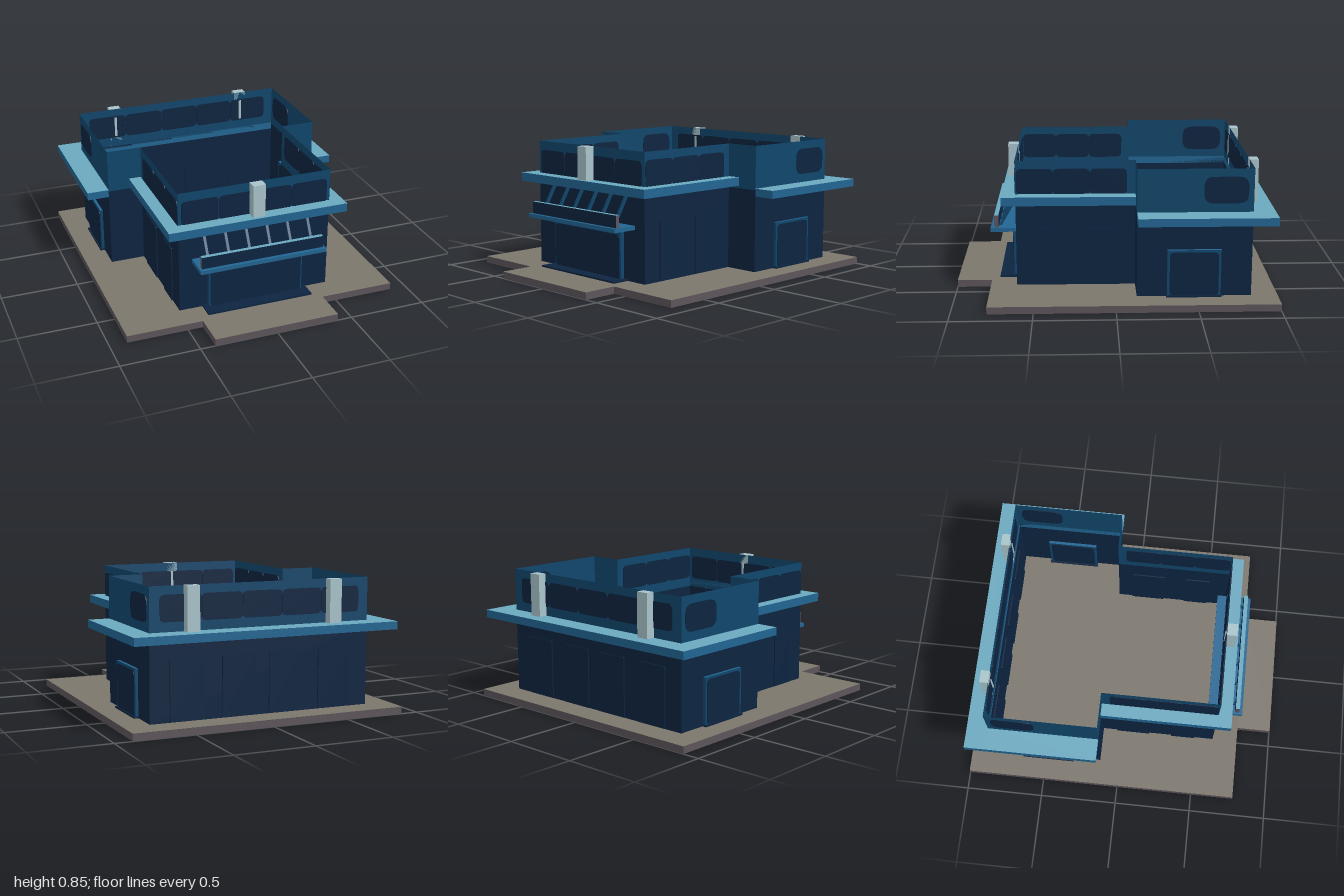
import * as THREE from 'three';

const mat = (name, color, side = THREE.FrontSide) => {
  const m = new THREE.MeshStandardMaterial({ color, side });
  m.name = name;
  return m;
};

export function createModel() {
  const model = new THREE.Group();
  model.name = 'building';
  const navy = mat('navy', 0x0c2440, THREE.DoubleSide);
  const blue = mat('deep blue', 0x10466b, THREE.DoubleSide);
  const mid = mat('mid blue', 0x226592);
  const light = mat('light blue', 0x6ba8bf);
  const pale = mat('pale grey blue', 0xa8c3ca);
  const stone = mat('stone', 0x7b766c);
  const stoneEdge = mat('stone edge', 0x5c545a);

  const add = (name, geo, material) => {
    const m = new THREE.Mesh(geo, material);
    m.name = name;
    model.add(m);
    return m;
  };
  // Box given by its extents
  const box = (name, material, x0, x1, y0, y1, z0, z1) => {
    const m = add(name, new THREE.BoxGeometry(x1 - x0, y1 - y0, z1 - z0), material);
    m.position.set((x0 + x1) / 2, (y0 + y1) / 2, (z0 + z1) / 2);
    return m;
  };
  // Face materials: sides, top, underside
  const faces = (side, top, under = side) => [side, side, top, under, side, side];

  // Ground slab and front step
  const slab = faces(stoneEdge, stone);
  box('groundSlab', slab, -0.89, 0.89, 0, 0.045, -1, 0.78);
  box('frontStep', slab, -0.405, 0.405, 0, 0.045, 0.78, 1);

  // Thin walls following the T-shaped plan
  const half = [[0.5, 0.615], [0.5, -0.13], [0.725, -0.13], [0.725, -0.835]];
  const plan = [...half, ...half.map(([x, z]) => [-x, z]).reverse()];
  const walls = (name, material, y0, y1) => {
    const pos = [];
    plan.forEach(([x, z], i) => {
      const [u, w] = plan[(i + 1) % plan.length];
      pos.push(x, y0, z, u, y0, w, u, y1, w, x, y0, z, u, y1, w, x, y1, z);
    });
    const g = new THREE.BufferGeometry();
    g.setAttribute('position', new THREE.Float32BufferAttribute(pos, 3));
    g.computeVertexNormals();
    add(name, g, material);
  };
  walls('lowerWalls', navy, 0.045, 0.57);
  walls('upperWalls', blue, 0.57, 0.85);

  // Rounded thin plate, centred on its wall so it shows inside and out
  const plate = (name, material, w, h, r, x, y, z, turned, depth = 0.008) => {
    const a = w / 2, b = h / 2;
    const s = new THREE.Shape();
    s.moveTo(-a + r, -b);
    s.lineTo(a - r, -b);
    s.quadraticCurveTo(a, -b, a, -b + r);
    s.lineTo(a, b - r);
    s.quadraticCurveTo(a, b, a - r, b);
    s.lineTo(-a + r, b);
    s.quadraticCurveTo(-a, b, -a, b - r);
    s.lineTo(-a, -b + r);
    s.quadraticCurveTo(-a, -b, -a + r, -b);
    const g = new THREE.ExtrudeGeometry(s, { depth, bevelEnabled: false, curveSegments: 5 });
    g.translate(0, 0, -depth / 2);
    if (turned) g.rotateY(Math.PI / 2);
    add(name, g, material).position.set(x, y, z);
  };

  // Upper windows: front, back and sides
  for (const x of [-0.36, -0.12, 0.12, 0.36])
    plate('frontWindow', navy, 0.238, 0.16, 0.03, x, 0.712, 0.615, false);
  for (let i = 0; i < 5; i++)
    plate('backWindow', navy, 0.262, 0.16, 0.03, (i - 2) * 0.264, 0.718, -0.835, false);
  for (const s of [-1, 1]) {
    for (let i = 0; i < 3; i++)
      plate('sideWindow', navy, 0.23, 0.165, 0.035, s * 0.5, 0.717, 0.495 - i * 0.229, true);
    plate('rearSideWindow', navy, 0.27, 0.165, 0.06, s * 0.725, 0.717, -0.667, true);
  }

  // Flat lower wall panels
  for (const x of [-0.49, -0.155, 0.155, 0.49])
    plate('backPanel', navy, 0.22, 0.375, 0.005, x, 0.235, -0.835, false, 0.016);
  for (const s of [-1, 1])
    for (const [z, w] of [[0.41, 0.16], [0.075, 0.22]])
      plate('sidePanel', navy, w, 0.375, 0.005, s * 0.5, 0.235, z, true, 0.016);

  // Eaves around the rear block (lower) and the front block (higher)
  const eave = faces(mid, light);
  box('rearEaveBack', eave, -0.865, 0.865, 0.53, 0.58, -0.97, -0.835);
  box('frontEaveFront', eave, -0.585, 0.585, 0.585, 0.64, 0.615, 0.7);
  for (const s of [-1, 1]) {
    const side = (name, a, b, ...r) => box(name, eave, Math.min(s * a, s * b), Math.max(s * a, s * b), ...r);
    side('rearEaveSide', 0.725, 0.865, 0.53, 0.58, -0.835, -0.13);
    side('frontEaveSide', 0.505, 0.585, 0.585, 0.64, -0.13, 0.615);
  }

  // Parapet posts, each with a narrow strip on the inner wall face
  box('frontPost', pale, -0.04, 0.04, 0.64, 0.851, 0.615, 0.68);
  box('frontPostStrip', pale, -0.008, 0.008, 0.65, 0.79, 0.607, 0.615);
  for (const x of [-0.47, 0.47]) {
    box('backPost', pale, x - 0.04, x + 0.04, 0.58, 0.851, -0.89, -0.835);
    box('backPostStrip', pale, x - 0.008, x + 0.008, 0.65, 0.79, -0.835, -0.827);
  }

  // Front door with its threshold
  const frame = faces(blue, mid, blue);
  box('frontDoorFrame', frame, -0.315, 0.315, 0.045, 0.345, 0.6, 0.642);
  plate('frontDoorPanel', navy, 0.61, 0.28, 0.03, 0, 0.19, 0.643, false);
  box('frontThreshold', navy, -0.35, 0.35, 0.045, 0.056, 0.615, 0.73);

  // Side doors through the rear block walls
  for (const s of [-1, 1]) {
    const c = s * 0.725;
    box('sideDoorFrame', frame, c - 0.018, c + 0.018, 0.045, 0.345, -0.645, -0.315);
    plate('sideDoorPanel', navy, 0.3, 0.28, 0.03, c, 0.19, -0.48, true, 0.042);
    box('sideThreshold', navy, c - 0.03, c + 0.03, 0.045, 0.056, -0.65, -0.31);
  }

  // Front counter, hanging board and slanted struts
  box('counter', mid, -0.415, 0.415, 0.37, 0.395, 0.555, 0.78);
  box('board', [stoneEdge, stoneEdge, light, navy, navy, navy], -0.4, 0.4, 0.395, 0.472, 0.73, 0.757);
  for (let i = 0; i < 6; i++) {
    const dy = 0.19, dz = 0.11;
    const strut = add('strut', new THREE.BoxGeometry(0.017, Math.hypot(dy, dz), 0.016), blue);
    strut.position.set((i - 2.5) * 0.137, 0.485, 0.67);
    strut.rotation.x = -Math.atan2(dz, dy);
  }
  return model;
}
